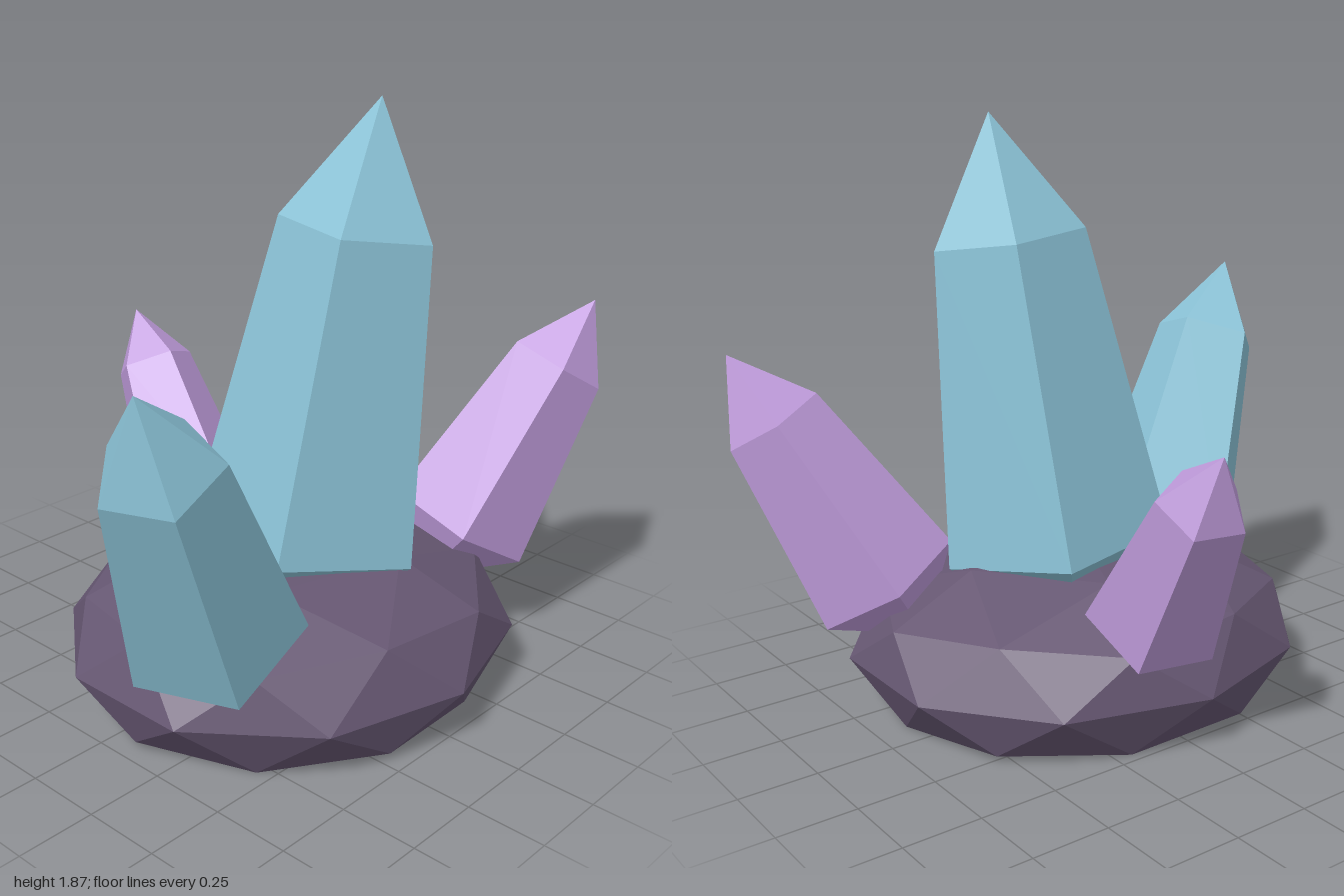
import * as THREE from 'three';

const paint = (color) => new THREE.MeshStandardMaterial({ color, flatShading: true });

// Five-sided crystal: pointed root, widest ring at `foot`, shoulder, then tip.
// `edge` is a point on one corner of the widest ring and sets the turn.
function crystal(name, material, foot, tip, edge, radius) {
  const origin = new THREE.Vector3(...foot);
  const axis = new THREE.Vector3(...tip).sub(origin);
  const length = axis.length();
  const profile = [
    [0, -0.9 * radius],
    [radius, 0],
    [0.66 * radius, 0.72 * length],
    [0, length],
  ].map(([r, y]) => new THREE.Vector2(r, y));

  const up = axis.normalize();
  const out = new THREE.Vector3(...edge).sub(origin).projectOnPlane(up).normalize();
  const side = new THREE.Vector3().crossVectors(up, out);

  const mesh = new THREE.Mesh(new THREE.LatheGeometry(profile, 5), material);
  mesh.name = name;
  mesh.quaternion.setFromRotationMatrix(new THREE.Matrix4().makeBasis(side, up, out));
  mesh.position.copy(origin);
  return mesh;
}

// Flattened faceted boulder with a level underside
function rock() {
  const geometry = new THREE.IcosahedronGeometry(1, 1);
  geometry.rotateZ(-Math.atan(2 / (1 + Math.sqrt(5)))); // a corner straight up
  geometry.scale(0.77, 0.34, 0.7);
  geometry.translate(-0.01, 0.175, 0.1);
  const p = geometry.attributes.position;
  for (let i = 0; i < p.count; i++) p.setY(i, Math.max(0, p.getY(i)));
  geometry.computeVertexNormals();
  const mesh = new THREE.Mesh(geometry, paint(0x665772));
  mesh.name = 'rockBase';
  return mesh;
}

export function createModel() {
  const model = new THREE.Group();
  model.name = 'crystalCluster';
  const teal = paint(0x8cc4d8);
  const violet = paint(0xc09cdc);

  model.add(
    rock(),
    crystal('centralCrystal', teal, [0.046, 0.49, 0.132], [0.19, 1.87, 0.27], [0.1, 0.445, 0.51], 0.38),
    crystal('rightCrystal', teal, [-0.53, 0.39, 0.27], [-0.96, 1.28, 0.44], [-0.3, 0.53, 0.18], 0.28),
    crystal('leftCrystal', violet, [0.57, 0.4, 0.34], [0.96, 1.15, 0.58], [0.64, 0.42, 0.11], 0.25),
    crystal('backCrystal', violet, [0.095, 0.4, -0.44], [0.16, 1.01, -0.81], [0.06, 0.48, -0.26], 0.21),
  );
  return model;
}
